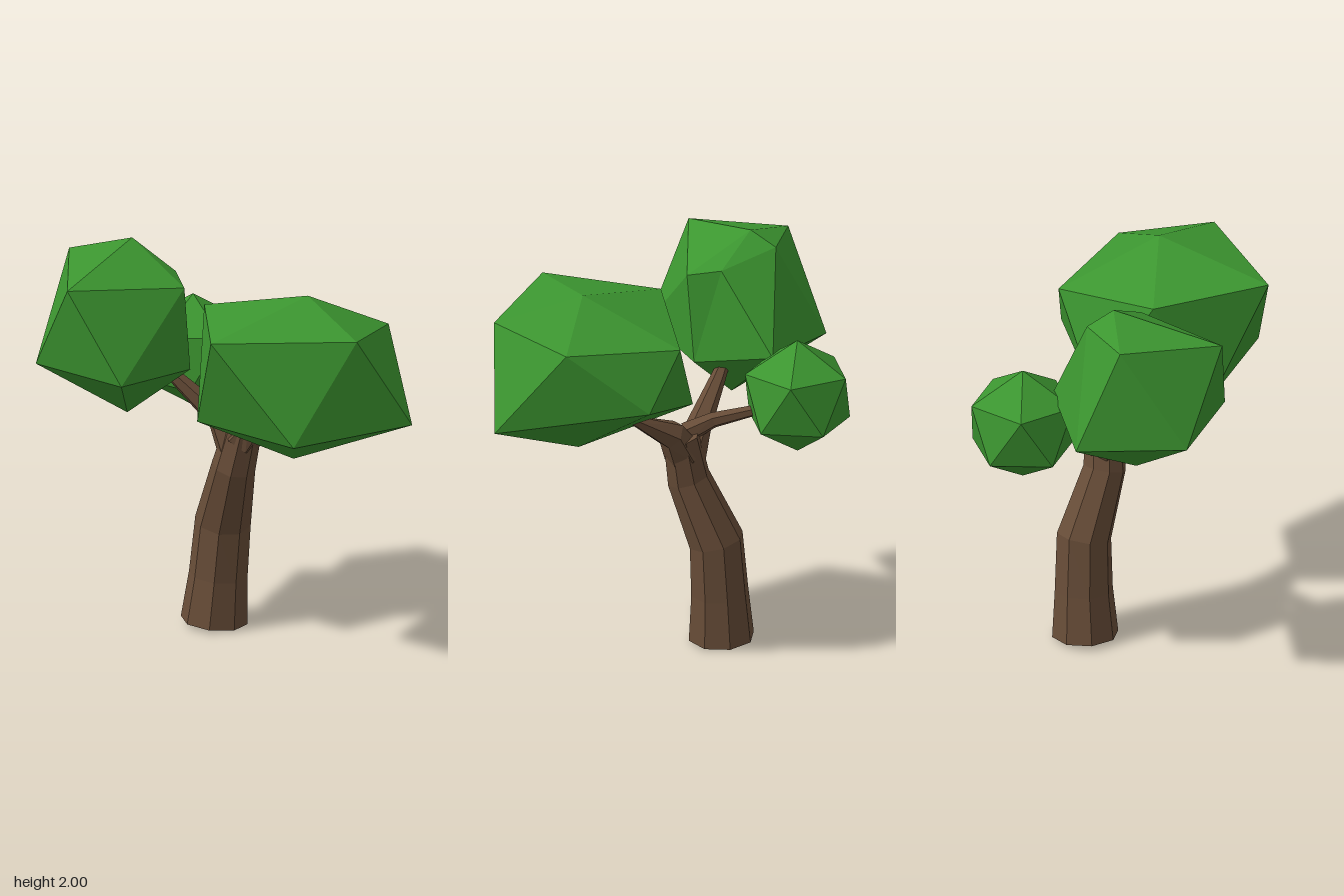
import * as THREE from 'three';

const bark = new THREE.MeshStandardMaterial({ color: 0x684d38, flatShading: true });
const leaf = new THREE.MeshStandardMaterial({ color: 0x3c9630, flatShading: true });

function makeMesh(name, points, index, material) {
  const indexed = new THREE.BufferGeometry();
  indexed.setAttribute('position', new THREE.Float32BufferAttribute(points.flat(), 3));
  indexed.setIndex(index);
  const geometry = indexed.toNonIndexed();
  geometry.computeVertexNormals();
  const mesh = new THREE.Mesh(geometry, material);
  mesh.name = name;
  return mesh;
}

// Faceted leaf clump: a 20-sided solid from a top, two rings of five and a bottom.
// Rings run anticlockwise seen from above; lower[i] sits between upper[i] and upper[i + 1].
function clump(name, top, upper, lower, bottom) {
  const index = [];
  for (let i = 0; i < 5; i++) {
    const k = (i + 1) % 5;
    const u = 1 + i, v = 1 + k, l = 6 + i, m = 6 + k;
    index.push(0, u, v, u, l, v, l, m, v, 11, m, l);
  }
  return makeMesh(name, [top, ...upper, ...lower, bottom], index, leaf);
}

// Tapered limb: rings square to the path, each path point being [x, y, z, radius].
function limb(name, path, sides) {
  const centres = path.map(([x, y, z]) => new THREE.Vector3(x, y, z));
  const points = [], index = [], last = path.length - 1;
  centres.forEach((c, j) => {
    const t = centres[Math.min(j + 1, last)].clone().sub(centres[Math.max(j - 1, 0)]).normalize();
    const w = new THREE.Vector3(1, 0, 0).cross(t).normalize();
    const u = t.clone().cross(w);
    for (let i = 0; i < sides; i++) {
      const a = ((i + 0.5) / sides) * Math.PI * 2;
      points.push(c.clone()
        .addScaledVector(u, Math.cos(a) * path[j][3])
        .addScaledVector(w, -Math.sin(a) * path[j][3]).toArray());
    }
  });
  const start = points.length;
  points.push(centres[0].toArray(), centres[last].toArray());
  for (let i = 0; i < sides; i++) {
    const k = (i + 1) % sides;
    for (let j = 0; j < last; j++) {
      const p = j * sides + i, q = j * sides + k;
      index.push(p, q, p + sides, q, q + sides, p + sides);
    }
    index.push(start, k, i, start + 1, last * sides + i, last * sides + k);
  }
  return makeMesh(name, points, index, bark);
}

// Five points round a level circle
function ring(x, y, z, radius, turn) {
  return Array.from({ length: 5 }, (_, i) => {
    const a = ((i + turn) / 5) * Math.PI * 2;
    return [x + Math.cos(a) * radius, y, z - Math.sin(a) * radius];
  });
}

export function createModel() {
  const tree = new THREE.Group();
  tree.name = 'tree';

  // Bent trunk and its three branches
  tree.add(
    limb('trunk', [
      [0.08, 0.01, -0.235, 0.165], [0.1, 0.25, -0.23, 0.145], [0.12, 0.53, -0.215, 0.138],
      [0.14, 0.86, -0.08, 0.108], [0.19, 1.1, -0.05, 0.09],
    ], 8),
    limb('frontBranch', [
      [0.17, 1.0, -0.06, 0.1], [0.24, 1.12, -0.01, 0.075], [0.37, 1.23, 0.14, 0.03], [0.42, 1.27, 0.2, 0.02],
    ], 6),
    limb('sideBranch', [
      [0.15, 0.92, -0.07, 0.09], [0.08, 1.1, -0.12, 0.065], [-0.1, 1.28, -0.19, 0.04], [-0.26, 1.44, -0.25, 0.018],
    ], 6),
    limb('backBranch', [
      [0.16, 1.1, -0.07, 0.055], [0.12, 1.16, -0.2, 0.04], [0.08, 1.22, -0.45, 0.025],
    ], 6),
  );

  // Large clump at the front
  tree.add(clump('frontFoliage', [0.39, 1.89, 0.41],
    [[-0.17, 1.78, 0.68], [0.53, 1.78, 0.83], [0.79, 1.72, 0.44], [0.53, 1.68, -0.09], [-0.05, 1.77, 0.08]],
    [[0.2, 1.27, 0.87], [0.82, 1.31, 0.79], [0.7, 1.4, 0.04], [0.2, 1.27, -0.11], [-0.16, 1.27, 0.37]],
    [0.31, 1.06, 0.44]));

  // Tall clump on the right
  tree.add(clump('sideFoliage', [-0.31, 2.0, -0.33],
    [[-0.73, 1.88, 0.03], [-0.12, 1.82, -0.04], [-0.12, 1.85, -0.21], [-0.27, 1.93, -0.46], [-0.59, 1.92, -0.48]],
    [[-0.5, 1.42, 0.2], [-0.08, 1.38, -0.08], [0, 1.45, -0.48], [-0.5, 1.4, -0.68], [-0.82, 1.42, -0.24]],
    [-0.36, 1.13, -0.23]));

  // Small even clump at the back
  tree.add(clump('backFoliage', [0.07, 1.58, -0.61],
    ring(0.07, 1.42, -0.61, 0.262, 0), ring(0.07, 1.16, -0.61, 0.262, 0.5),
    [0.07, 1.0, -0.61]));

  return tree;
}
